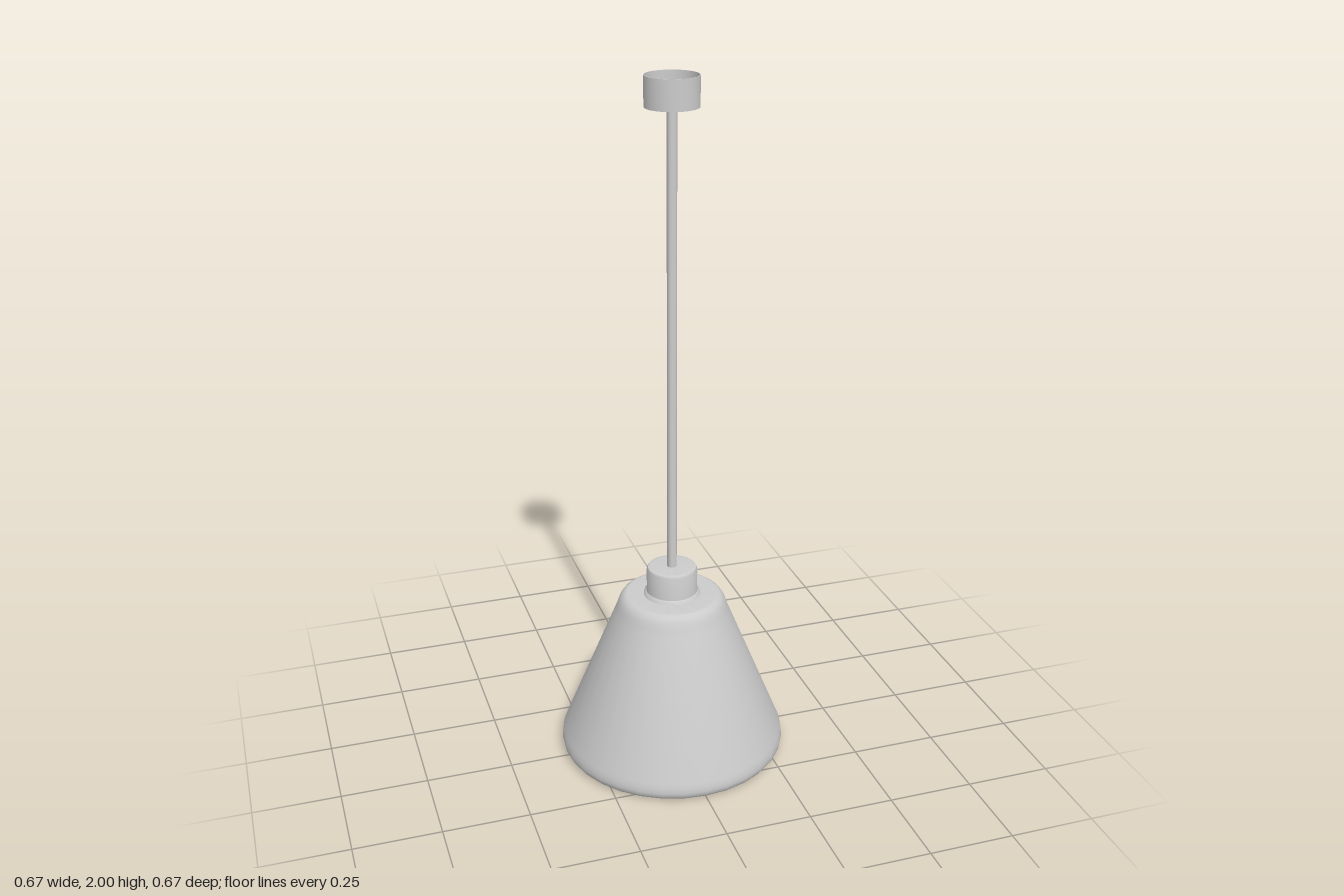
import * as THREE from 'three';
import { toCreasedNormals } from 'three/addons/utils/BufferGeometryUtils.js';

const material = new THREE.MeshStandardMaterial({ color: 0xcccccc, side: THREE.DoubleSide });

// Revolves [radius, height] points, listed from bottom to top, around the y axis.
function turned(name, profile, segments = 32) {
  const points = profile.map(([r, y]) => new THREE.Vector2(r, y));
  const geometry = toCreasedNormals(new THREE.LatheGeometry(points, segments), 0.7);
  const mesh = new THREE.Mesh(geometry, material);
  mesh.name = name;
  return mesh;
}

export function createModel() {
  const lamp = new THREE.Group();
  lamp.name = 'pendantLamp';

  // Thin conical shade with a rolled-in lip, a rounded shoulder and a flat top
  lamp.add(turned('shade', [
    [0.316, 0], [0.325, 0.006], [0.331, 0.015], [0.333, 0.026], [0.331, 0.04],
    [0.327, 0.056], [0.168, 0.445], [0.162, 0.46], [0.156, 0.478], [0.148, 0.491],
    [0.139, 0.498], [0.132, 0.5], [0.126, 0.5], [0.07, 0.5],
  ]));

  // Collar with a small flared foot and softened top edge
  lamp.add(turned('collar', [
    [0.083, 0.5], [0.081, 0.506], [0.075, 0.511], [0.074, 0.518], [0.074, 0.572],
    [0.073, 0.58], [0.07, 0.586], [0.064, 0.588], [0.058, 0.588], [0, 0.588],
  ]));

  // Suspension rod
  lamp.add(turned('rod', [[0.014, 0.58], [0.014, 1.918]], 16));

  // Ceiling cup, thin-walled and open at the top
  lamp.add(turned('ceilingCup', [
    [0, 1.918], [0.074, 1.918], [0.074, 2], [0.072, 2], [0.072, 1.921], [0, 1.921],
  ]));

  // Round bulb narrowing gently into a neck that reaches the socket
  const bulb = [];
  const radius = 0.092, centre = 0.139;
  for (let i = 0; i <= 12; i++) {
    const a = (i / 12) * Math.PI * 0.7;
    bulb.push([radius * Math.sin(a), centre - radius * Math.cos(a)]);
  }
  bulb.push([0.056, 0.225], [0.046, 0.265], [0.042, 0.31], [0.042, 0.5]);
  lamp.add(turned('bulb', bulb));

  return lamp;
}
